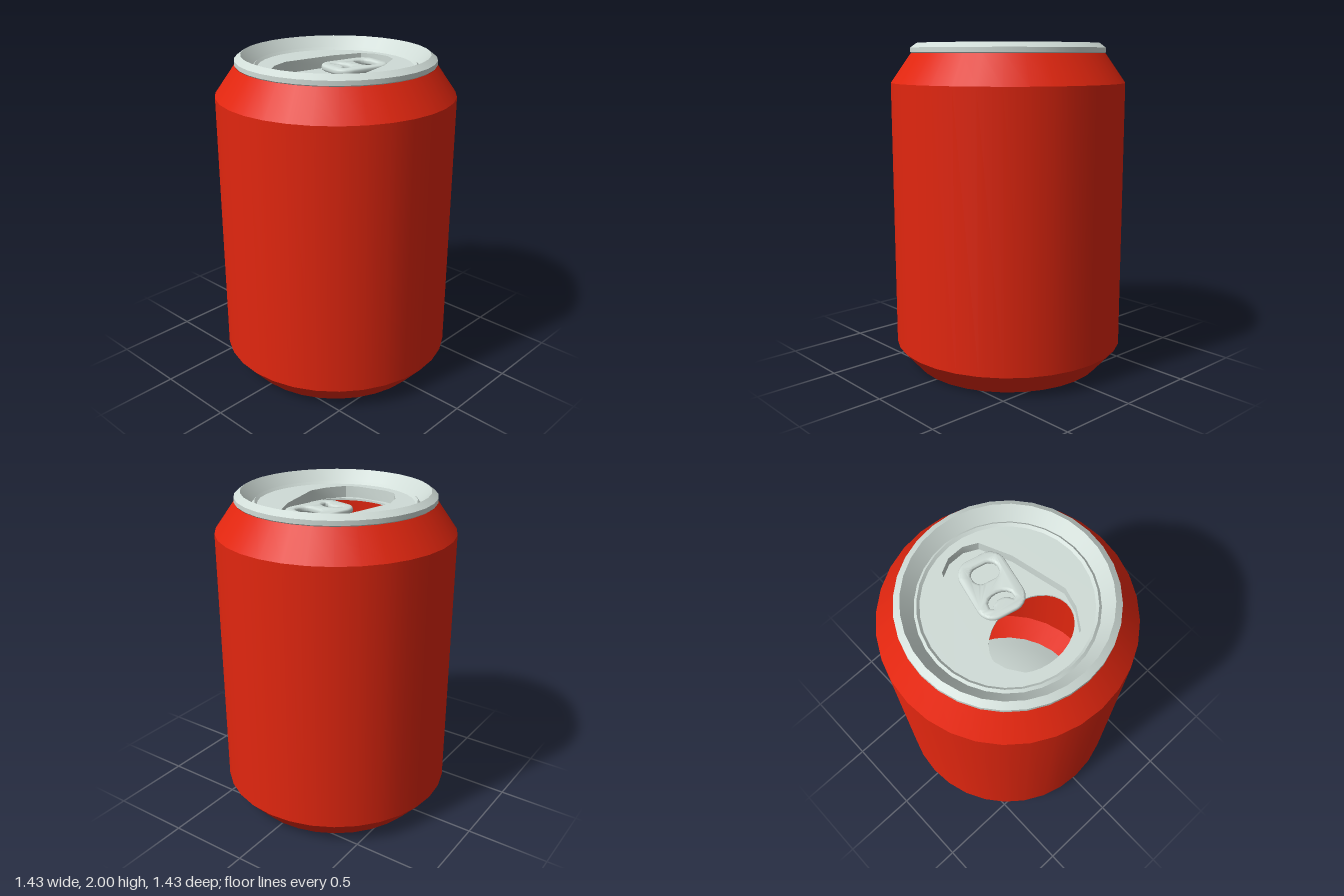
import * as THREE from 'three';
import { toCreasedNormals } from 'three/addons/utils/BufferGeometryUtils.js';

const SEG = 32;
const PANEL_Y = 1.925, FLOOR_Y = 1.855;

export function createModel() {
  const can = new THREE.Group();
  can.name = 'drinkCan';

  const red = new THREE.MeshStandardMaterial({ color: 0xe2260f, side: THREE.DoubleSide });
  red.name = 'red paint';
  const metal = new THREE.MeshStandardMaterial({ color: 0xd0dcd7, side: THREE.DoubleSide });
  metal.name = 'bare metal';

  const add = (name, geometry, material, parent = can) => {
    const mesh = new THREE.Mesh(geometry, material);
    mesh.name = name;
    parent.add(mesh);
    return mesh;
  };

  // One ring per profile segment: smooth around, sharp between rings
  const rings = (name, profile, material) => {
    const group = new THREE.Group();
    group.name = name;
    for (let i = 0; i < profile.length - 1; i++) {
      const pts = [profile[i], profile[i + 1]].map(([r, y]) => new THREE.Vector2(r, y));
      add(name + 'Ring' + (i + 1), new THREE.LatheGeometry(pts, SEG), material, group);
    }
    can.add(group);
  };

  // Flat horizontal sheet from an outline of (x, z) points with one opening
  const sheet = (outline, opening, y) => {
    const flip = (pts) => pts.map(([x, z]) => new THREE.Vector2(x, -z));
    const shape = new THREE.Shape(flip(outline));
    shape.holes.push(new THREE.Path(flip(opening)));
    return new THREE.ShapeGeometry(shape).rotateX(-Math.PI / 2).translate(0, y, 0);
  };

  // Vertical wall following a closed (x, z) outline
  const wall = (outline, y0, y1) => {
    const pos = [], index = [], n = outline.length;
    for (let i = 0; i <= n; i++) {
      const [x, z] = outline[i % n];
      pos.push(x, y0, z, x, y1, z);
      if (i < n) {
        const a = i * 2;
        index.push(a, a + 2, a + 1, a + 1, a + 2, a + 3);
      }
    }
    const g = new THREE.BufferGeometry();
    g.setAttribute('position', new THREE.Float32BufferAttribute(pos, 3));
    g.setIndex(index);
    return toCreasedNormals(g, 0.6);
  };

  const ellipse = (rx, rz, cz, n) => Array.from({ length: n }, (_, i) => {
    const a = (i / n) * Math.PI * 2;
    return [rx * Math.sin(a), cz + rz * Math.cos(a)];
  });

  // Painted body with tapered shoulder and foot
  rings('body', [[0.59, 0], [0.713, 0.14], [0.713, 1.765], [0.59, 1.94]], red);

  // Rim, sloping inner wall and the small ridge round the lid
  rings('rim', [[0.585, 1.938], [0.593, 1.945], [0.593, 1.972], [0.555, 2], [0.49, 1.925],
    [0.475, 1.94], [0.46, PANEL_Y]], metal);

  // Domed underside
  const dome = [];
  for (let i = 0; i <= 8; i++) {
    const t = i / 8;
    dome.push(new THREE.Vector2(0.59 * t, 0.15 * (1 - t * t)));
  }
  add('bottomDome', new THREE.LatheGeometry(dome, SEG), metal);

  // Lid panel with a teardrop recess and the drinking hole
  const half = [[0.1, 0.392], [0.175, 0.365], [0.25, 0.255], [0.283, 0.14],
    [0.21, -0.19], [0.13, -0.37], [0.05, -0.41]];
  const recess = [...half, ...half.map(([x, z]) => [-x, z]).reverse()];
  const mouth = ellipse(0.255, 0.188, 0.185, 32);
  add('lidPanel', sheet(ellipse(0.46, 0.46, 0, SEG), recess, PANEL_Y), metal);
  add('recessWall', wall(recess, PANEL_Y, FLOOR_Y), metal);
  add('recessFloor', sheet(recess, mouth, FLOOR_Y), metal);
  add('mouthLip', wall(mouth, FLOOR_Y, FLOOR_Y - 0.012), metal);

  // Pull tab, turned slightly to one side
  const tab = new THREE.Group();
  tab.name = 'pullTab';
  tab.position.set(0.018, 0, -0.145);
  tab.rotation.y = -0.23;
  can.add(tab);

  const roundRect = (path, cx, cy, w, h, r) => {
    const h2 = Math.PI / 2;
    path.absarc(cx + w - r, cy + h - r, r, 0, h2);
    path.absarc(cx - w + r, cy + h - r, r, h2, 2 * h2);
    path.absarc(cx - w + r, cy - h + r, r, 2 * h2, 3 * h2);
    path.absarc(cx + w - r, cy - h + r, r, 3 * h2, 4 * h2);
    path.closePath();
    return path;
  };
  const plate = roundRect(new THREE.Shape(), 0, 0, 0.137, 0.187, 0.09);
  plate.holes.push(roundRect(new THREE.Path(), 0.005, 0.078, 0.078, 0.053, 0.05));

  // Curved opening with the rivet tongue reaching into it
  const slot = new THREE.Path();
  slot.moveTo(-0.075, -0.115);
  slot.bezierCurveTo(-0.085, -0.03, 0.085, -0.03, 0.075, -0.115);
  slot.lineTo(0.06, -0.125);
  slot.bezierCurveTo(0.035, -0.08, -0.035, -0.08, -0.06, -0.125);
  slot.closePath();
  plate.holes.push(slot);

  const tabGeo = new THREE.ExtrudeGeometry(plate, {
    depth: 0.012, bevelEnabled: true, bevelThickness: 0.013, bevelSize: 0.015,
    bevelOffset: -0.015, bevelSegments: 3, curveSegments: 8,
  });
  tabGeo.rotateX(-Math.PI / 2).translate(0, 1.893, 0);
  add('tabPlate', toCreasedNormals(tabGeo, 0.8), metal, tab);

  // Rivet joining tab and lid
  const rivet = add('rivet', new THREE.CylinderGeometry(0.03, 0.03, 0.045, 16), metal, tab);
  rivet.position.set(0, FLOOR_Y + 0.022, 0.135);

  return can;
}
